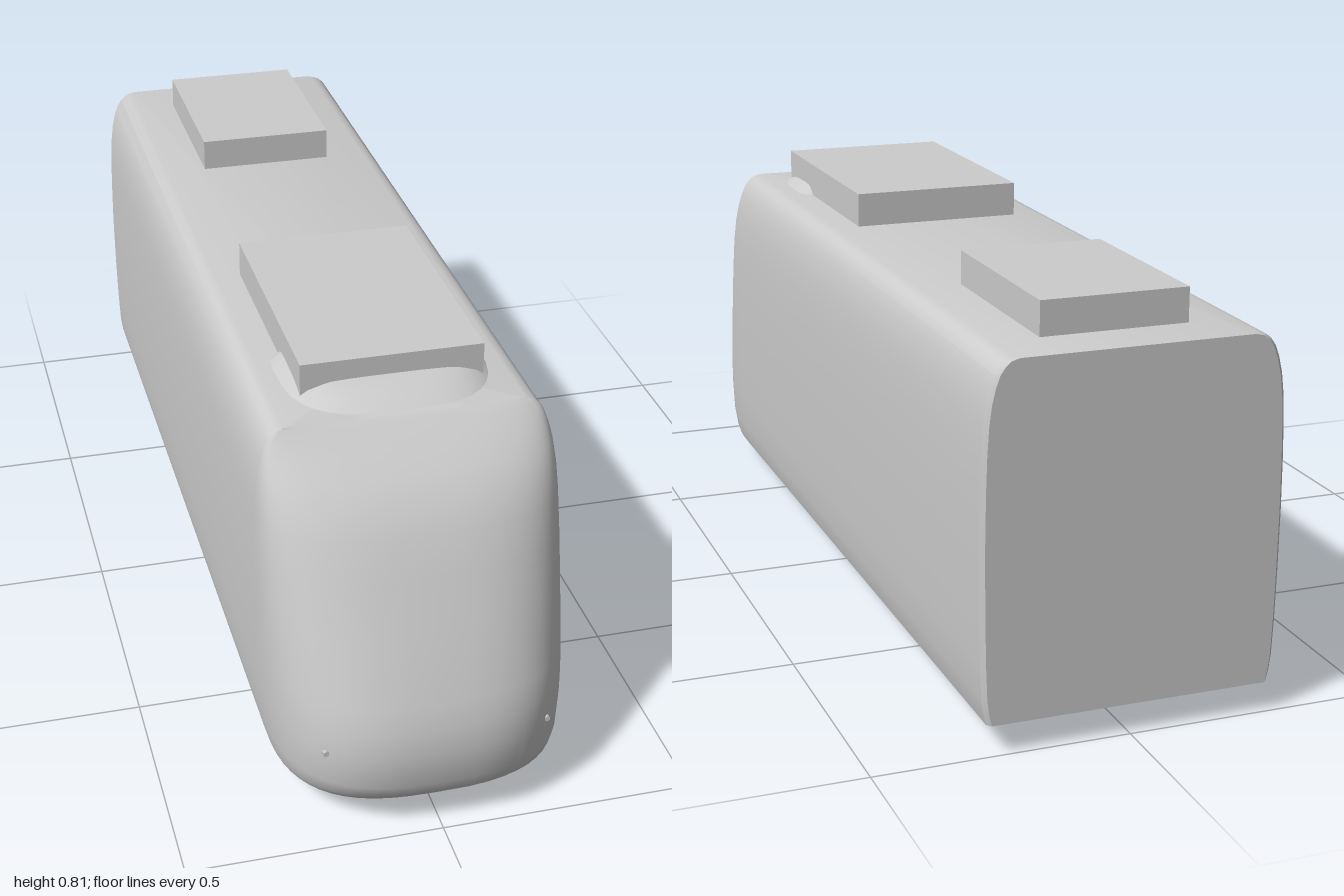
import * as THREE from 'three';
import { toCreasedNormals } from 'three/addons/utils/BufferGeometryUtils.js';

const grey = new THREE.MeshStandardMaterial({ color: 0xcccccc });
grey.name = 'plainGrey';

// Closed skin through equal-length rings, ordered bottom to top, capped at both ends
function loft(rings, crease) {
  const n = rings[0].length;
  const points = rings.flat();
  const index = [];
  for (let j = 0; j < rings.length - 1; j++) {
    for (let i = 0; i < n; i++) {
      const k = (i + 1) % n;
      const a = j * n + i, b = j * n + k, c = b + n, d = a + n;
      index.push(a, b, c, a, c, d);
    }
  }
  const last = (rings.length - 1) * n;
  const bottom = points.length, top = bottom + 1;
  const centre = (ring) => [0, ring[0][1], ring.reduce((s, p) => s + p[2], 0) / n];
  points.push(centre(rings[0]), centre(rings[rings.length - 1]));
  for (let i = 0; i < n; i++) {
    const k = (i + 1) % n;
    index.push(bottom, k, i, top, last + i, last + k);
  }
  const geometry = new THREE.BufferGeometry();
  geometry.setAttribute('position', new THREE.Float32BufferAttribute(points.flat(), 3));
  geometry.setIndex(index);
  return toCreasedNormals(geometry, crease);
}

// Half superellipse in plan, from -x round the front to +x
function arc(w, depth, y, z0, power, steps) {
  return Array.from({ length: steps + 1 }, (_, i) => {
    const t = (i / steps - 0.5) * Math.PI;
    const s = Math.sin(t), c = Math.max(0, Math.cos(t));
    return [Math.sign(s) * w * Math.abs(s) ** (2 / power), y, z0 + depth * c ** (2 / power)];
  });
}

export function createModel() {
  const model = new THREE.Group();
  const add = (name, geometry, x = 0, y = 0, z = 0) => {
    const mesh = new THREE.Mesh(geometry, grey);
    mesh.name = name;
    mesh.position.set(x, y, z);
    model.add(mesh);
    return mesh;
  };

  // Body with rounded nose: height, half width, front z
  const noseStart = 0.69;
  const levels = [
    [0.06, 0.28, 0.965], [0.08, 0.285, 0.985], [0.11, 0.289, 0.997], [0.18, 0.292, 1],
    [0.23, 0.293, 0.993], [0.28, 0.294, 0.977], [0.4, 0.295, 0.925], [0.5, 0.294, 0.882],
    [0.57, 0.292, 0.85], [0.62, 0.289, 0.82], [0.66, 0.284, 0.784], [0.69, 0.277, 0.75],
    [0.712, 0.269, 0.725], [0.727, 0.259, 0.707], [0.736, 0.248, 0.696], [0.74, 0.232, 0.69],
  ];
  const bodyRings = levels.map(([y, w, front]) => [
    ...arc(w, front - noseStart, y, noseStart, 2.8, 28),
    [w, y, 0.68], [w, y, -0.99], [w - 0.008, y, -1],
    [-w + 0.008, y, -1], [-w, y, -0.99], [-w, y, 0.68],
  ]);
  add('body', loft(bodyRings, 0.6));

  // Low fairing under the front roof unit: height, half width, front z, back z
  const fairing = [
    [0.735, 0.21, 0.69, 0.385], [0.755, 0.187, 0.655, 0.4],
    [0.768, 0.165, 0.615, 0.42], [0.773, 0.14, 0.57, 0.45],
  ];
  add('roofFairing', loft(fairing.map(([y, w, front, back]) => {
    const mid = 0.47;
    return [
      ...arc(w, front - mid, y, mid, 3, 16),
      ...arc(w, back - mid, y, mid, 3.5, 16).reverse().slice(1, -1),
    ];
  }), 0.7));

  // Roof units
  add('frontRoofUnit', new THREE.BoxGeometry(0.36, 0.08, 0.535), 0, 0.771, 0.325);
  add('rearRoofUnit', new THREE.BoxGeometry(0.29, 0.08, 0.4), 0, 0.767, -0.69);

  // Wheels, their upper halves hidden in the body
  const wheel = new THREE.Shape([
    [-0.062, 0.065], [-0.053, 0.031], [-0.028, 0.013], [0, 0],
    [0.028, 0.013], [0.053, 0.031], [0.062, 0.065],
  ].map(([x, y]) => new THREE.Vector2(x, y)));
  const wheelGeometry = new THREE.ExtrudeGeometry(wheel, { depth: 0.023, bevelEnabled: false });
  wheelGeometry.translate(0, 0, -0.0115).rotateY(Math.PI / 2);

  const lampGeometry = new THREE.CylinderGeometry(0.006, 0.006, 0.02, 6).rotateX(Math.PI / 2);
  for (const side of [-1, 1]) {
    for (const z of [-0.264, -0.664]) add('wheel', wheelGeometry, side * 0.168, 0, z);
    // Small nose lamps
    add('lamp', lampGeometry, side * 0.217, 0.18, 0.938);
  }
  return model;
}
